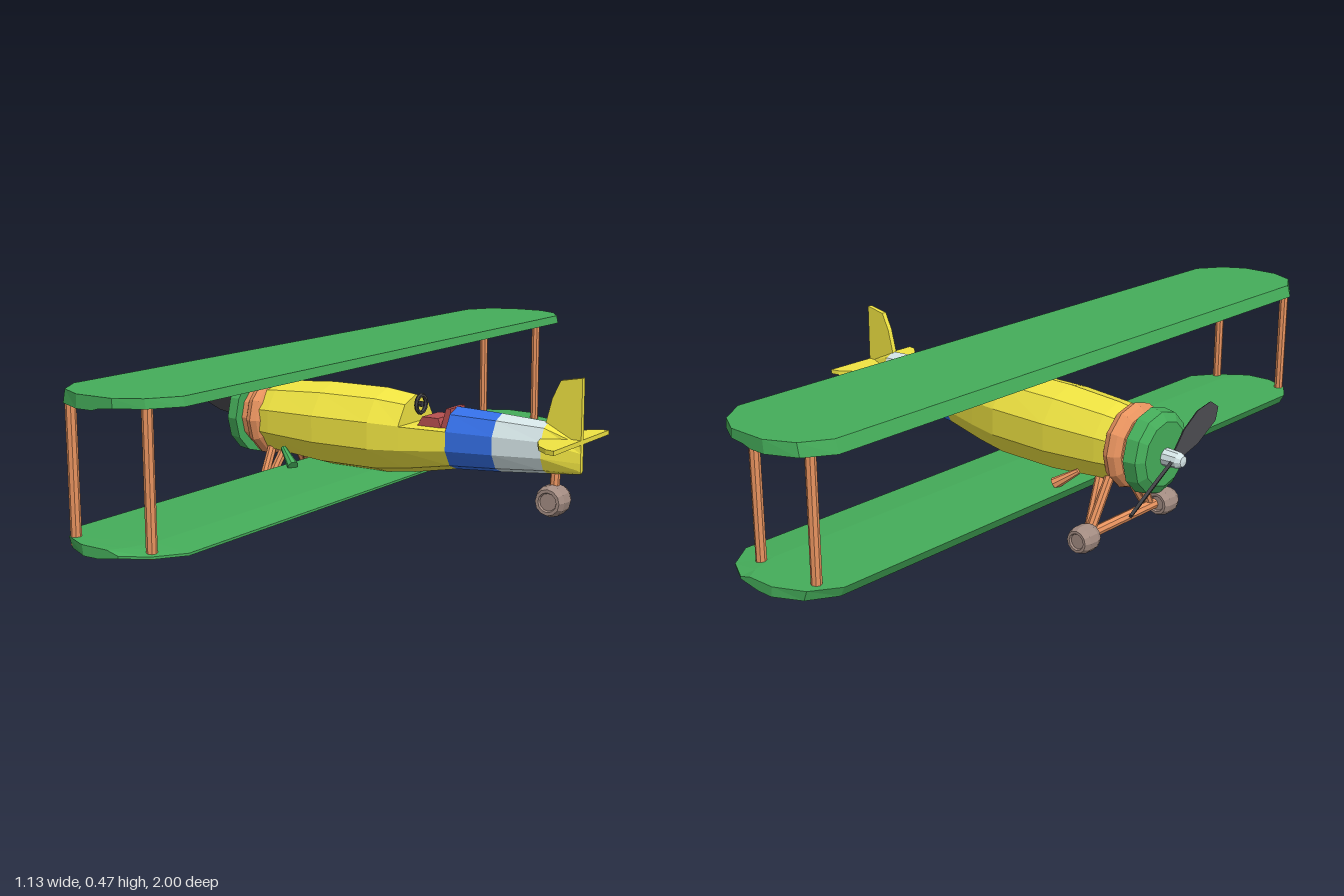
import * as THREE from 'three';

const ZC = -0.008; // centre plane of the fuselage
const mat = (color) => new THREE.MeshStandardMaterial({ color, flatShading: true });
const M = {
  yellow: mat(0xf0e442), green: mat(0x45ad5a), orange: mat(0xe8935f), blue: mat(0x3570e8),
  white: mat(0xd6e6e8), dark: mat(0x404044), red: mat(0xb85050), tyre: mat(0xa38c82),
};

// Skin a row of rings (counter-clockwise seen from the last ring) with end caps.
function loft(rings) {
  const pos = [];
  const n = rings[0].length;
  const tri = (...pts) => pts.forEach((p) => pos.push(...p));
  for (let i = 0; i < rings.length - 1; i++) {
    for (let j = 0; j < n; j++) {
      const k = (j + 1) % n;
      const [a, b, c, d] = [rings[i][j], rings[i][k], rings[i + 1][k], rings[i + 1][j]];
      tri(a, b, c);
      tri(a, c, d);
    }
  }
  const first = rings[0], last = rings[rings.length - 1];
  for (let j = 1; j < n - 1; j++) {
    tri(first[0], first[j + 1], first[j]);
    tri(last[0], last[j], last[j + 1]);
  }
  const g = new THREE.BufferGeometry();
  g.setAttribute('position', new THREE.Float32BufferAttribute(pos, 3));
  g.computeVertexNormals();
  return g;
}

// Ten-sided fuselage section, optionally cut flat at height top.
function section([x, cy, ry, rz, top = 9]) {
  return Array.from({ length: 10 }, (_, k) => {
    const a = (k * Math.PI) / 5;
    return [x, Math.min(top, cy + ry * Math.cos(a)), ZC + rz * Math.sin(a)];
  });
}

export function createModel() {
  const plane = new THREE.Group();
  plane.name = 'biplane';
  const add = (name, geometry, material, parent = plane) => {
    const mesh = new THREE.Mesh(geometry, material);
    mesh.name = name;
    parent.add(mesh);
    return mesh;
  };
  const rod = (name, a, b, r, material = M.orange, r2 = r) => {
    const p = new THREE.Vector3(...a), q = new THREE.Vector3(...b);
    const mesh = add(name, new THREE.CylinderGeometry(r2, r, p.distanceTo(q), 8), material);
    mesh.position.copy(p).add(q).multiplyScalar(0.5);
    mesh.quaternion.setFromUnitVectors(new THREE.Vector3(0, 1, 0), q.sub(p).normalize());
    return mesh;
  };
  // Flat part cut from an xy outline, centred on z = 0.
  const plate = (pts, depth, bevel = 0) =>
    new THREE.ExtrudeGeometry(new THREE.Shape(pts.map((p) => new THREE.Vector2(...p))), {
      depth, bevelEnabled: bevel > 0, bevelSize: bevel, bevelThickness: bevel, bevelSegments: 1,
    }).translate(0, 0, -depth / 2);

  // Fuselage bands from nose to tail
  const bands = {
    frontFuselage: [M.yellow, [-0.41, 0.25, 0.098, 0.098], [-0.36, 0.25, 0.105, 0.105],
      [-0.2, 0.248, 0.118, 0.116], [-0.02, 0.248, 0.118, 0.112], [0.07, 0.248, 0.107, 0.095]],
    cockpitTub: [M.yellow, [0.07, 0.248, 0.107, 0.095, 0.28], [0.2, 0.25, 0.085, 0.068, 0.28]],
    blueBand: [M.blue, [0.2, 0.25, 0.085, 0.068], [0.335, 0.252, 0.078, 0.058]],
    whiteBand: [M.white, [0.335, 0.252, 0.078, 0.058], [0.47, 0.254, 0.068, 0.046]],
    tailCone: [M.yellow, [0.47, 0.254, 0.068, 0.046], [0.565, 0.237, 0.042, 0.008]],
  };
  for (const [name, [material, ...rows]] of Object.entries(bands)) {
    add(name, loft(rows.map(section)), material);
  }

  // Nose, turned about the long axis: [radius, x] profiles
  const turned = (name, profile, material, sides = 12) => {
    const pts = profile.map(([r, x]) => new THREE.Vector2(r, -x)).reverse();
    const mesh = add(name, new THREE.LatheGeometry(pts, sides), material);
    mesh.rotation.z = Math.PI / 2;
    mesh.position.set(0, 0.25, ZC);
    return mesh;
  };
  turned('noseRing', [[0, -0.445], [0.092, -0.442], [0.107, -0.43], [0.114, -0.413],
    [0.107, -0.396], [0.092, -0.385], [0, -0.385]], M.orange);
  turned('engineCollar', [[0, -0.475], [0.085, -0.475], [0.087, -0.435], [0, -0.435]], M.orange);
  turned('cowling', [[0, -0.512], [0.085, -0.512], [0.108, -0.497], [0.113, -0.463], [0, -0.463]], M.green);
  turned('spinner', [[0, -0.568], [0.014, -0.566], [0.021, -0.553], [0.024, -0.505], [0, -0.505]], M.white, 10)
    .position.y = 0.243;

  // Two pitched propeller blades
  const propeller = new THREE.Group();
  propeller.name = 'propeller';
  propeller.position.set(-0.537, 0.243, ZC);
  propeller.rotation.x = 1.05;
  const blade = [[-0.009, 0], [0.009, 0], [0.026, 0.08], [0.028, 0.15], [0.016, 0.195],
    [-0.008, 0.2], [-0.024, 0.165], [-0.024, 0.08]];
  for (const turn of [0, Math.PI]) {
    const holder = new THREE.Group();
    holder.rotation.x = turn;
    propeller.add(holder);
    add('propellerBlade', plate(blade, 0.008), M.dark, holder).rotation.y = 0.95;
  }
  plane.add(propeller);

  // Wings: one section swept along the span, narrowing to clipped tips
  const tips = [[-1, -0.18, -0.07], [-0.965, -0.255, -0.005], [-0.895, -0.3, 0.045]];
  const stations = [...tips, ...tips.map(([z, a, b]) => [-z, a, b]).reverse()];
  const wing = (profile) => loft(stations.map(([z, a, b]) =>
    profile.map(([t, y]) => [a + (b - a) * t, y, z])));
  add('upperWing', wing([[0, 0.445], [0.43, 0.445], [0.72, 0.454], [1, 0.455], [0.985, 0.478], [0.03, 0.478]]), M.green);
  add('lowerWing', wing([[0.04, 0.109], [0.45, 0.109], [1, 0.119], [1, 0.125], [0.7, 0.134], [0, 0.135]]), M.green);

  // Interplane struts
  for (const [x, z] of [[-0.242, 0.955], [-0.02, 0.945], [-0.242, -0.925], [-0.05, -0.925]]) {
    rod('wingStrut', [x, 0.115, z], [x, 0.458, z], 0.013);
  }

  // Tail surfaces
  add('tailFin', plate([[0.465, 0.25], [0.565, 0.2], [0.565, 0.443], [0.505, 0.432], [0.482, 0.385], [0.465, 0.32]], 0.014), M.yellow)
    .position.z = ZC;
  const half = [[0.565, 0.158], [0.54, 0.152], [0.505, 0.122], [0.478, 0.075], [0.465, 0.03]];
  const tailplane = add('tailplane', plate([...half, ...half.map(([x, z]) => [x, -z]).reverse()], 0.012), M.yellow);
  tailplane.rotation.x = Math.PI / 2;
  tailplane.position.set(0, 0.278, ZC);

  // Cockpit: seat, backrest and steering wheel
  add('seat', plate([[0.1, 0.278], [0.175, 0.278], [0.165, 0.305], [0.116, 0.305]], 0.085), M.red).position.z = ZC;
  add('seatBack', plate([[0.17, 0.278], [0.2, 0.278], [0.2, 0.333], [0.187, 0.333]], 0.075), M.red).position.z = ZC;
  const wheel = add('steeringWheel', new THREE.TorusGeometry(0.024, 0.006, 6, 12), M.dark);
  wheel.rotation.y = Math.PI / 2;
  wheel.position.set(0.086, 0.33, ZC);
  rod('steeringColumn', [0.06, 0.33, ZC], [0.09, 0.33, ZC], 0.008, M.dark);

  // Wheel with bevelled tyre and hub, axle along z
  const addWheel = (name, x, y, z, r, w) => {
    const profile = [[0, -0.42], [0.55, -0.42], [0.62, -0.5], [0.82, -0.5], [1, -0.25],
      [1, 0.25], [0.82, 0.5], [0.62, 0.5], [0.55, 0.42], [0, 0.42]];
    const pts = profile.map(([pr, pw]) => new THREE.Vector2(pr * r, pw * w));
    const mesh = add(name, new THREE.LatheGeometry(pts, 12), M.tyre);
    mesh.rotation.x = Math.PI / 2;
    mesh.position.set(x, y, z);
  };

  // Main gear and exhausts, one set per side
  for (const s of [1, -1]) {
    const z = (d) => -0.01 + s * d;
    addWheel('mainWheel', -0.39, 0.04, z(0.167), 0.036, 0.062);
    rod('frontGearStrut', [-0.38, 0.18, z(0.05)], [-0.375, 0.04, z(0.125)], 0.013);
    rod('rearGearStrut', [-0.345, 0.16, z(0.05)], [-0.367, 0.04, z(0.12)], 0.013);
    rod('exhaust', [-0.31, 0.18, z(0.095)], [-0.255, 0.14, z(0.125)], 0.008, s > 0 ? M.green : M.orange, 0.016);
  }
  rod('axle', [-0.38, 0.038, -0.15], [-0.38, 0.038, 0.13], 0.014);

  // Tail wheel
  rod('tailStrut', [0.488, 0.21, -0.02], [0.486, 0.12, -0.012], 0.013);
  addWheel('tailWheel', 0.486, 0.118, -0.01, 0.042, 0.07);

  return plane;
}
